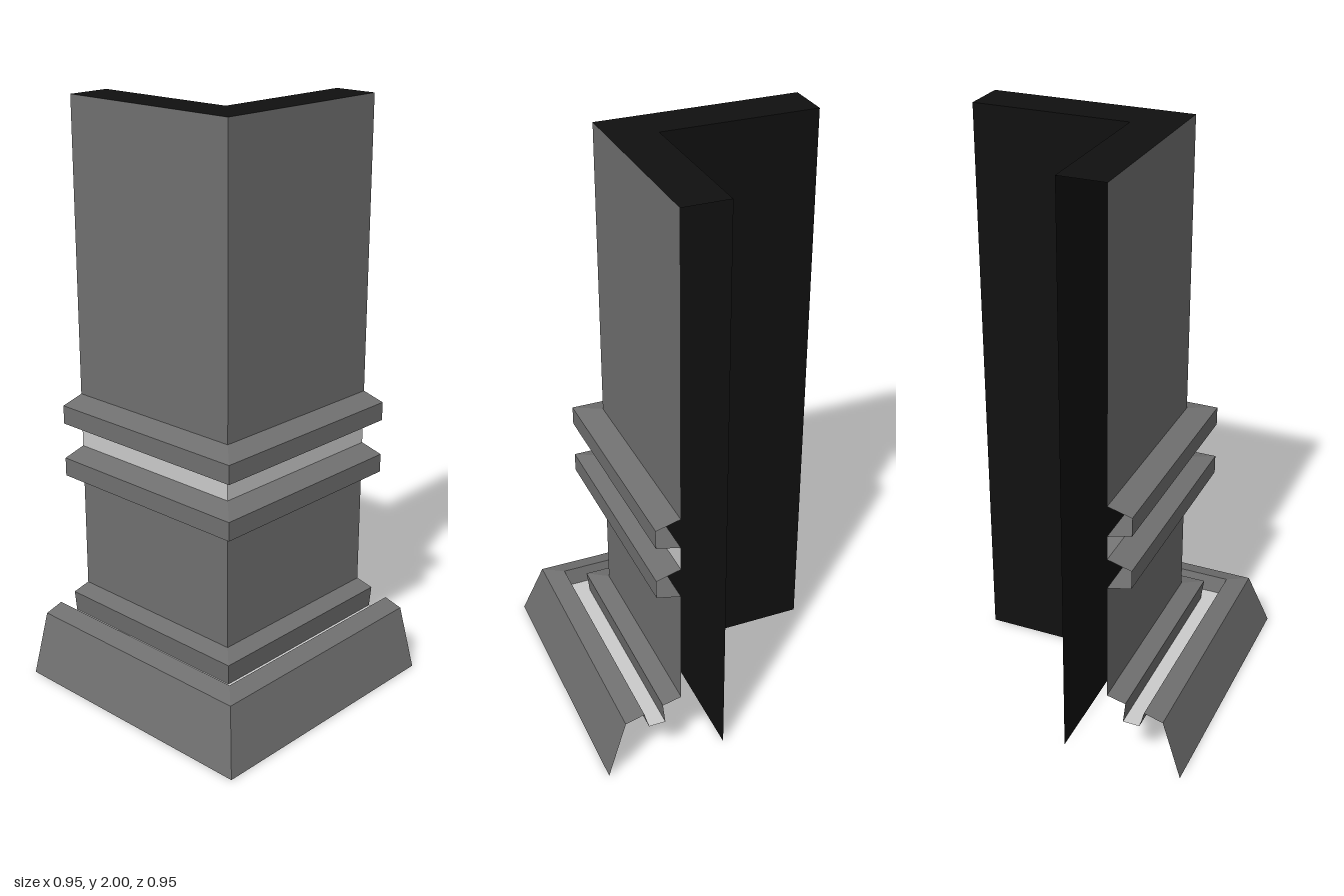
import * as THREE from 'three';

const END = -0.475; // where both legs of the corner are cut off

const material = (color) =>
  new THREE.MeshStandardMaterial({ color, flatShading: true, side: THREE.DoubleSide });

// Sweeps a profile of [offset, height] points along the mitred L-shaped corner.
function cornerSweep(name, profile, mat) {
  const pos = [];
  const quad = (a, b, c, d) => pos.push(...a, ...b, ...c, ...a, ...c, ...d);
  for (let i = 0; i < profile.length - 1; i++) {
    const [d0, y0] = profile[i];
    const [d1, y1] = profile[i + 1];
    quad([END, y0, d0], [d0, y0, d0], [d1, y1, d1], [END, y1, d1]); // leg along x
    quad([d0, y0, d0], [d0, y0, END], [d1, y1, END], [d1, y1, d1]); // leg along z
  }
  const geo = new THREE.BufferGeometry();
  geo.setAttribute('position', new THREE.Float32BufferAttribute(pos, 3));
  geo.computeVertexNormals();
  const mesh = new THREE.Mesh(geo, mat);
  mesh.name = name;
  return mesh;
}

export function createModel() {
  const group = new THREE.Group();
  group.name = 'cornerColumn';
  const grey = material(0x707070);
  const light = material(0xcccccc);
  const black = material(0x101010);
  const wall = 0.215, inner = 0.06, rib = 0.297;

  // Projecting rib with bevelled top and bottom
  const ribProfile = (y) => [[wall, y], [rib, y + 0.02], [rib, y + 0.085], [wall, y + 0.107]];

  group.add(
    // Base: sloped skirting, recessed light strip, small moulding
    cornerSweep('skirting', [[0.475, 0], [0.411, 0.21], [0.345, 0.228], [0.33, 0.17]], grey),
    cornerSweep('baseLightStrip', [[0.33, 0.17], [0.272, 0.17]], light),
    cornerSweep('baseMoulding', [[0.272, 0.17], [0.28, 0.245], [wall, 0.26]], grey),
    // Wall with a light band between two ribs
    cornerSweep('lowerWall', [[wall, 0.26], [wall, 0.683]], grey),
    cornerSweep('lowerRib', ribProfile(0.683), grey),
    cornerSweep('lightBand', [[wall, 0.79], [wall, 0.875]], light),
    cornerSweep('upperRib', ribProfile(0.875), grey),
    cornerSweep('upperWall', [[wall, 0.982], [wall, 2]], grey),
    // Dark top and inside faces
    cornerSweep('topCap', [[wall, 2], [inner, 2]], black),
    cornerSweep('innerWall', [[inner, 2], [inner, 0]], black),
  );
  return group;
}
